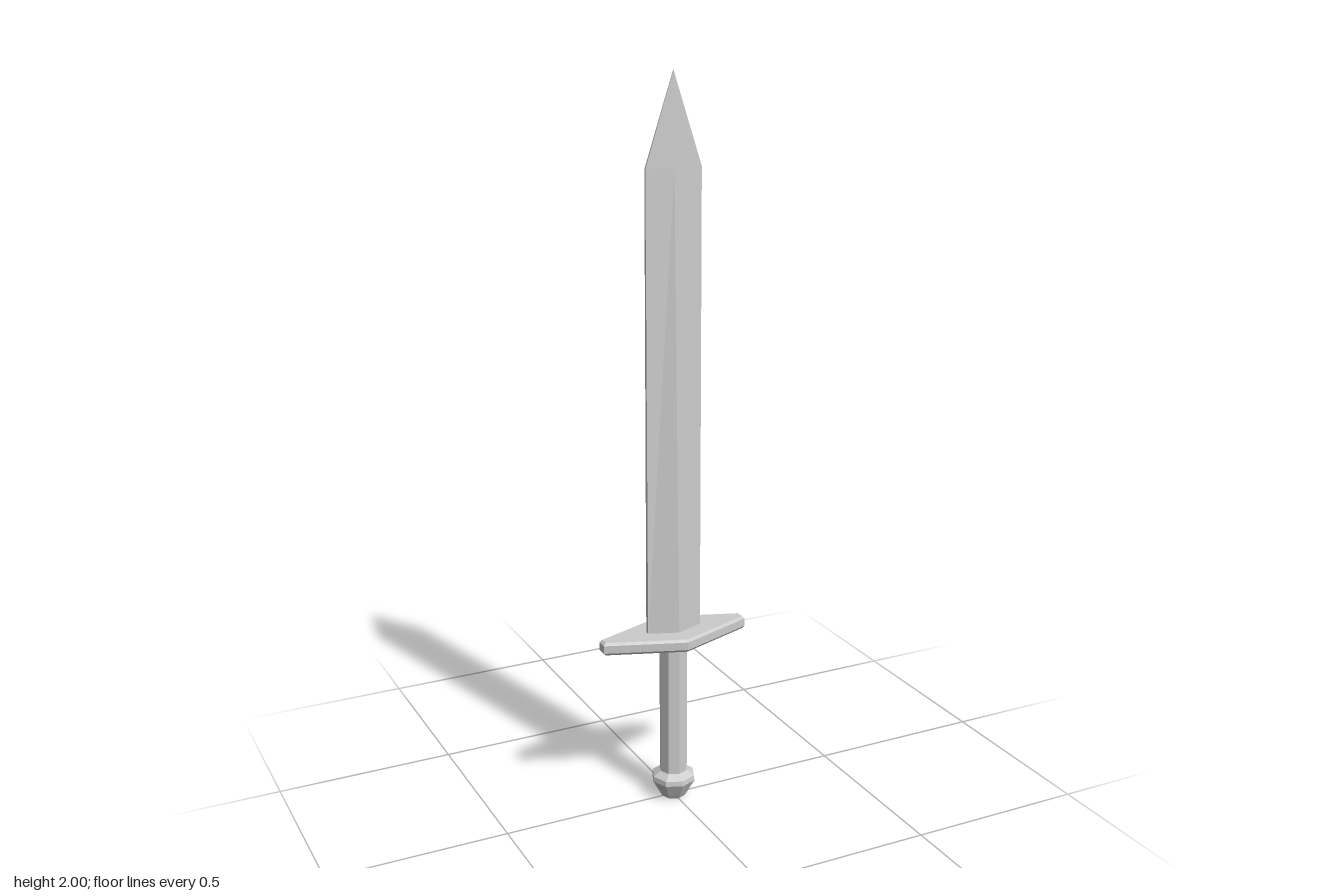
import * as THREE from 'three';

const material = new THREE.MeshStandardMaterial({ color: 0xcccccc, flatShading: true });

// Stacks six-sided sections [y, halfWidth, halfEdge, halfDepth], each a diamond with blunt side tips.
function loftDiamond(sections) {
  const positions = [];
  const index = [];
  for (const [y, w, e, d] of sections) {
    positions.push(w, y, -e, w, y, e, 0, y, d, -w, y, e, -w, y, -e, 0, y, -d);
  }
  const top = (sections.length - 1) * 6;
  for (let s = 0; s < top; s += 6) {
    for (let i = 0; i < 6; i++) {
      const a = s + i;
      const b = s + ((i + 1) % 6);
      index.push(a, a + 6, b, b, a + 6, b + 6);
    }
  }
  for (let i = 1; i < 5; i++) {
    index.push(0, i, i + 1, top, top + i + 1, top + i);
  }
  const geometry = new THREE.BufferGeometry();
  geometry.setAttribute('position', new THREE.Float32BufferAttribute(positions, 3));
  geometry.setIndex(index);
  const flat = geometry.toNonIndexed();
  flat.computeVertexNormals();
  return flat;
}

// Eight-sided turned part from [radius, y] points, bottom to top.
function turned(profile) {
  return new THREE.LatheGeometry(profile.map(([r, y]) => new THREE.Vector2(r, y)), 8);
}

export function createModel() {
  const group = new THREE.Group();
  const add = (name, geometry) => {
    const mesh = new THREE.Mesh(geometry, material);
    mesh.name = name;
    group.add(mesh);
  };

  // Blade: ridge and edges thin out evenly towards the point
  add('blade', loftDiamond([
    [0.5, 0.079, 0.006, 0.036],
    [1.76, 0.079, 0.003, 0.007],
    [2, 0.0005, 0.0005, 0.001],
  ]));

  // Guard: flat diamond plate with bevelled rims
  add('guard', loftDiamond([
    [0.472, 0.208, 0.012, 0.087],
    [0.479, 0.215, 0.015, 0.093],
    [0.501, 0.215, 0.015, 0.093],
    [0.508, 0.208, 0.012, 0.087],
  ]));

  // Grip flaring into a collar beneath the guard
  add('grip', turned([[0.04, 0.07], [0.04, 0.458], [0.054, 0.474]]));

  // Pommel: tapered foot, wide shoulder
  add('pommel', turned([
    [0, 0], [0.034, 0], [0.04, 0.01], [0.063, 0.052], [0.061, 0.066], [0.04, 0.08],
  ]));

  return group;
}
